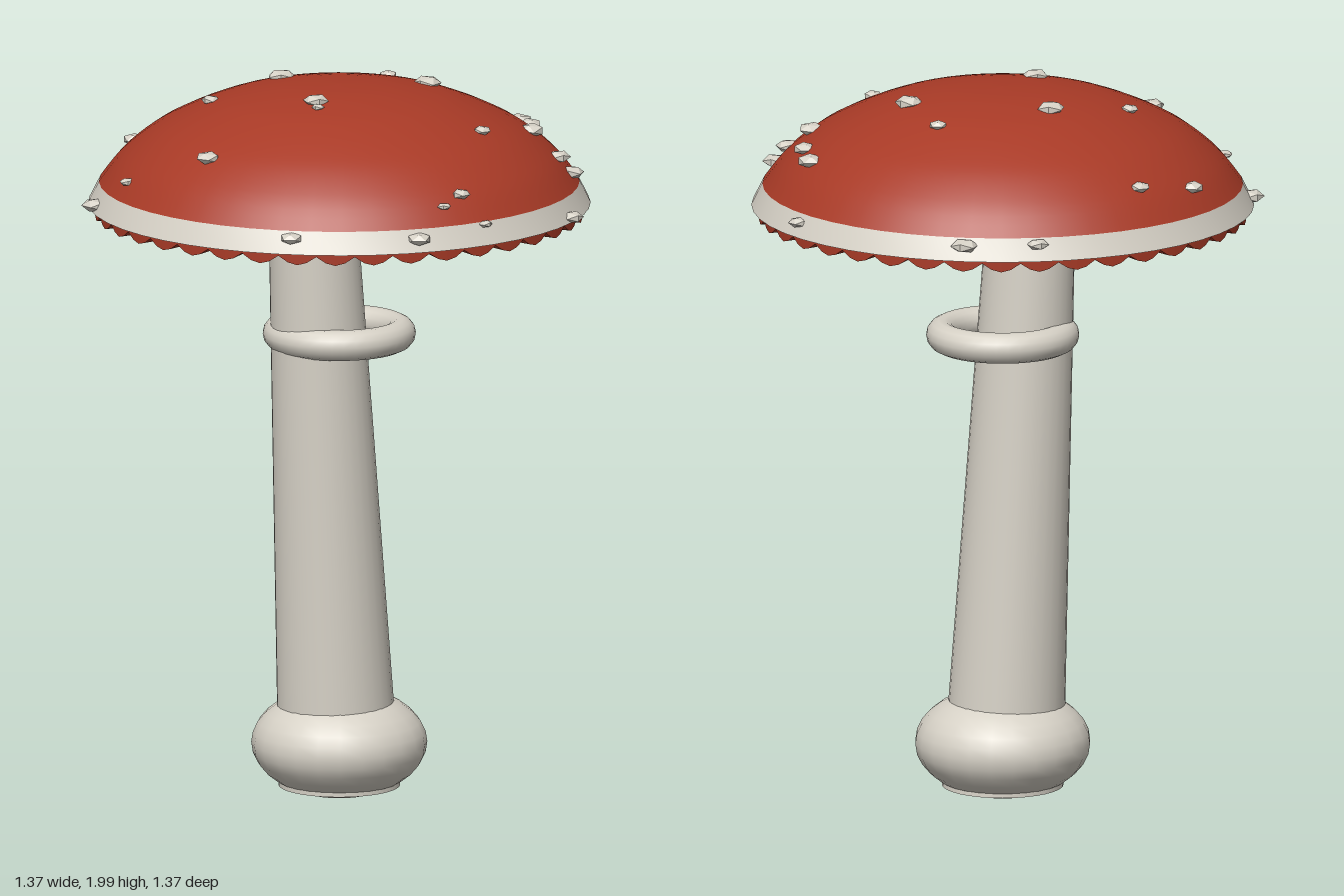
import * as THREE from 'three';
import { toCreasedNormals } from 'three/addons/utils/BufferGeometryUtils.js';

export function createModel() {
  const group = new THREE.Group();
  const red = new THREE.MeshStandardMaterial({ color: 0xa83a26 });
  red.name = 'cap red';
  const cream = new THREE.MeshStandardMaterial({ color: 0xd6d1c6 });
  cream.name = 'stem cream';

  function add(name, geometry, material, parent = group) {
    const mesh = new THREE.Mesh(geometry, material);
    mesh.name = name;
    parent.add(mesh);
    return mesh;
  }

  // Cap dome, from the rim up to the crown
  const curve = new THREE.SplineCurve([
    [0.655, 1.713], [0.6, 1.783], [0.52, 1.85], [0.44, 1.895], [0.35, 1.933],
    [0.27, 1.957], [0.14, 1.979], [0, 1.985],
  ].map(([r, y]) => new THREE.Vector2(r, y)));
  const profile = curve.getPoints(28);
  profile[profile.length - 1].x = 0;
  add('capDome', new THREE.LatheGeometry(profile, 48), red);

  // Pale band around the rim, turned under at the bottom
  const band = [[0.65, 1.653], [0.685, 1.653], [0.655, 1.713]]
    .map(([r, y]) => new THREE.Vector2(r, y));
  add('capRim', toCreasedNormals(new THREE.LatheGeometry(band, 48), 0.7), cream);

  // Gill disc: the lower edge is scalloped and the folds fade to the centre
  let gills = new THREE.CylinderGeometry(0.668, 0.668, 0.02, 160, 1);
  gills.translate(0, 1.645, 0);
  const p = gills.attributes.position;
  for (let i = 0; i < p.count; i++) {
    if (p.getY(i) > 1.64) continue;
    const r = Math.hypot(p.getX(i), p.getZ(i));
    const a = Math.atan2(p.getX(i), p.getZ(i));
    p.setY(i, r < 0.01 ? 1.635 : 1.645 - 0.024 * Math.abs(Math.sin(a * 20)));
  }
  gills = gills.toNonIndexed();
  gills.computeVertexNormals();
  add('gills', gills, red);

  // Tapered stem leaning towards -x
  const stem = new THREE.CylinderGeometry(0.121, 0.166, 1.61, 32, 1);
  stem.translate(0, 0.835, 0);
  const s = stem.attributes.position;
  for (let i = 0; i < s.count; i++) {
    s.setX(i, s.getX(i) - 0.052 * (s.getY(i) - 0.03));
  }
  stem.computeVertexNormals();
  add('stem', toCreasedNormals(stem, 0.7), cream);

  // Swollen base
  const bulb = add('bulb', new THREE.SphereGeometry(0.24, 24, 16), cream);
  bulb.scale.y = 0.15 / 0.24;
  bulb.position.y = 0.15;

  // Ring around the stem
  const ring = add('ring', new THREE.TorusGeometry(0.167, 0.042, 14, 40), cream);
  ring.rotation.x = Math.PI / 2;
  ring.position.y = 1.29;

  // Warts scattered over the cap: x, z, radius
  const warts = new THREE.Group();
  warts.name = 'warts';
  group.add(warts);
  const wartGeometry = new THREE.IcosahedronGeometry(1, 0);
  const capHeight = (r) => {
    const path = [new THREE.Vector2(0.685, 1.653), ...profile];
    const i = Math.max(1, path.findIndex((q) => q.x <= r));
    const a = path[i - 1], b = path[i];
    return a.y + (b.y - a.y) * (a.x - r) / (a.x - b.x);
  };
  [
    [0.16, -0.645, 0.031], [0.345, -0.57, 0.039], [-0.18, -0.55, 0.029],
    [-0.36, -0.49, 0.032], [-0.635, -0.235, 0.037], [-0.05, -0.225, 0.039],
    [-0.295, -0.19, 0.026], [0.27, -0.195, 0.026], [0.655, -0.13, 0.028],
    [-0.615, -0.095, 0.022], [0.27, 0.015, 0.039], [0.56, 0.015, 0.038],
    [-0.495, 0.135, 0.035], [-0.145, 0.12, 0.036], [-0.165, 0.165, 0.018],
    [0.535, 0.115, 0.034], [0.46, 0.25, 0.038], [0.495, 0.335, 0.035],
    [0.525, 0.355, 0.036], [0.23, 0.375, 0.026], [-0.445, 0.495, 0.032],
    [0.42, 0.535, 0.033], [-0.035, 0.62, 0.02], [0.03, 0.6, 0.027],
    [-0.135, 0.655, 0.035], [0.075, 0.655, 0.02],
  ].forEach(([x, z, r], i) => {
    const wart = add('wart', wartGeometry, cream, warts);
    wart.position.set(x, capHeight(Math.hypot(x, z)) + 0.003, z);
    wart.scale.set(r, r * 0.5, r);
    wart.rotation.y = i * 2.4;
  });

  return group;
}
